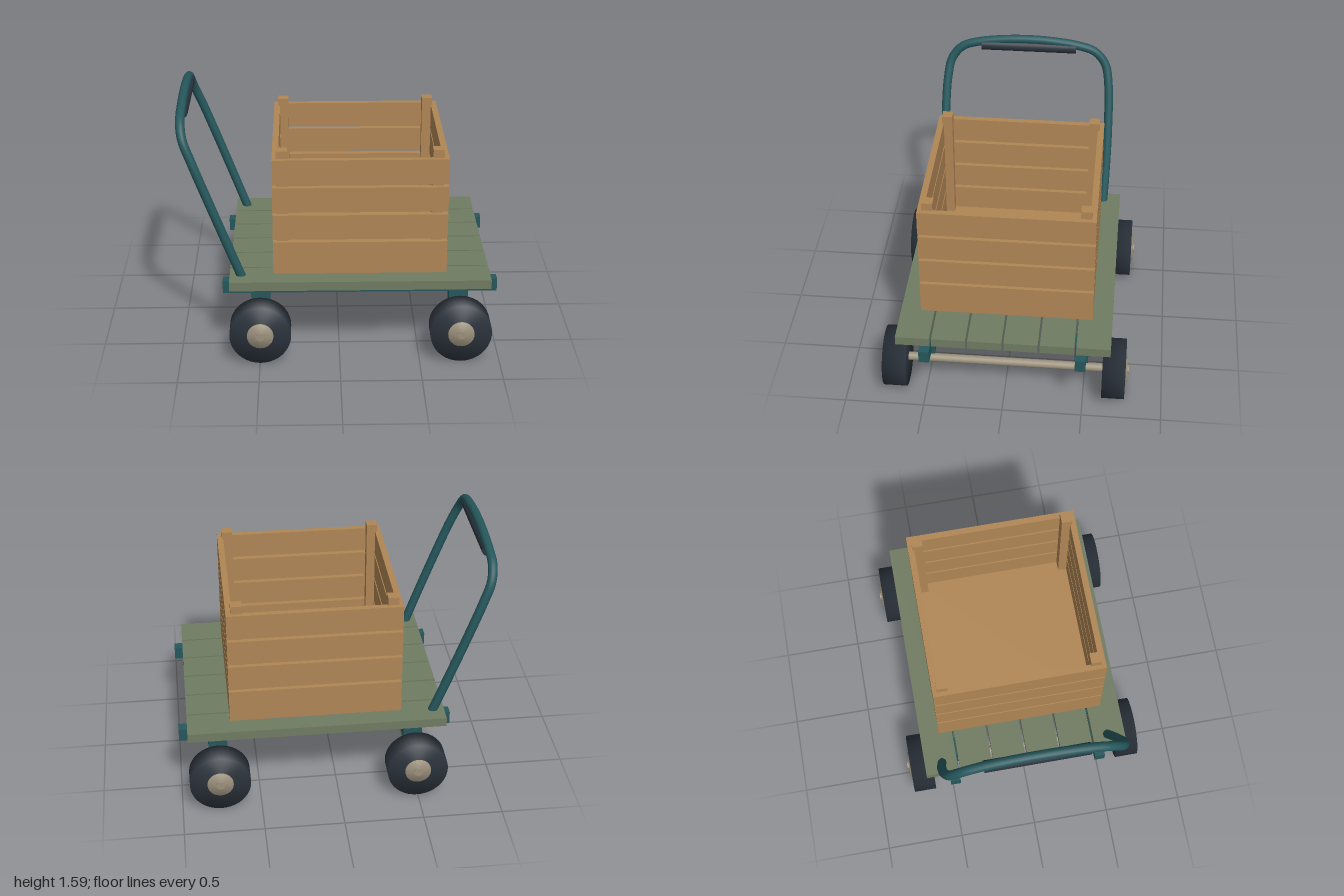
import * as THREE from 'three';

const mat = (name, color) => {
  const m = new THREE.MeshStandardMaterial({ color });
  m.name = name;
  return m;
};

export function createModel() {
  const root = new THREE.Group();
  root.name = 'cart';
  const wood = mat('crateWood', 0xb08655);
  const deckPaint = mat('deckGreen', 0x707b62);
  const teal = mat('frameTeal', 0x25575c);
  const rubber = mat('rubber', 0x2b333c);
  const metal = mat('axleMetal', 0x9c917d);

  const group = (name) => {
    const g = new THREE.Group();
    g.name = name;
    root.add(g);
    return g;
  };
  const add = (parent, name, geo, material, x = 0, y = 0, z = 0) => {
    const m = new THREE.Mesh(geo, material);
    m.name = name;
    m.position.set(x, y, z);
    parent.add(m);
    return m;
  };
  // box given by its extents on each axis
  const box = (parent, name, material, [x0, x1], [y0, y1], [z0, z1]) =>
    add(parent, name, new THREE.BoxGeometry(x1 - x0, y1 - y0, z1 - z0), material,
      (x0 + x1) / 2, (y0 + y1) / 2, (z0 + z1) / 2);
  // disc along z with softened shading at the rims
  const disc = (r, h) => new THREE.LatheGeometry(
    [[0, -h / 2], [r, -h / 2], [r, h / 2], [0, h / 2]].map(p => new THREE.Vector2(...p)), 40
  ).rotateX(Math.PI / 2);

  // deck of six planks
  const deck = group('deck');
  for (let i = 0; i < 6; i++) {
    const z = (i - 2.5) * 0.2245;
    box(deck, 'plank', deckPaint, [-0.686, 0.946], [0.453, 0.512], [z - 0.106, z + 0.106]);
  }

  // rails and brackets
  const frame = group('frame');
  const axleX = [-0.496, 0.757];
  for (const s of [-1, 1]) {
    const zc = s * 0.484;
    box(frame, 'rail', teal, [-0.735, 1.0], [0.367, 0.45], [zc - 0.033, zc + 0.033]);
    for (const x of axleX)
      box(frame, 'bracket', teal, [x - 0.06, x + 0.06], [0.278, 0.417], [zc - 0.042, zc + 0.042]);
  }

  // axles, tyres and hubs
  const running = group('runningGear');
  for (const x of axleX) {
    const axle = new THREE.CylinderGeometry(0.027, 0.027, 1.574, 20).rotateX(Math.PI / 2);
    add(running, 'axle', axle, metal, x, 0.192, 0);
    for (const s of [-1, 1]) {
      add(running, 'tyre', disc(0.192, 0.145), rubber, x, 0.192, s * 0.692);
      add(running, 'hub', disc(0.082, 0.05), metal, x, 0.192, s * 0.751);
    }
  }

  // crate: base, corner posts and four rows of slats
  const crate = group('crate');
  const [x0, x1, zo, t] = [-0.413, 0.675, 0.543, 0.039];
  box(crate, 'crateBase', wood, [x0, x1], [0.511, 0.563], [-zo, zo]);
  for (const s of [-1, 1]) {
    for (const x of [-0.352, 0.61])
      box(crate, 'cornerPost', wood, [x - 0.034, x + 0.034], [0.55, 1.324], [s * 0.482 - 0.034, s * 0.482 + 0.034]);
  }
  for (let i = 0; i < 4; i++) {
    const y = [0.563 + i * 0.1825, 0.726 + i * 0.1825];
    for (const s of [-1, 1]) {
      const zc = s * (zo - t / 2);
      box(crate, 'sideSlat', wood, [x0, x1], y, [zc - t / 2, zc + t / 2]);
      const xc = (x0 + x1) / 2 + s * ((x1 - x0) / 2 - t / 2);
      box(crate, 'endSlat', wood, [xc - t / 2, xc + t / 2], y, [-zo + t, zo - t]);
    }
  }

  // push handle: half path mirrored across z
  const handle = group('handle');
  const half = [[-0.585, 0.43, 0.55], [-0.682, 0.69, 0.559], [-0.798, 1.0, 0.561], [-0.9, 1.27, 0.55],
    [-0.95, 1.4, 0.522], [-0.966, 1.485, 0.45], [-0.966, 1.525, 0.34], [-0.966, 1.55, 0.17]];
  const path = [...half, [-0.966, 1.558, 0], ...half.map(([x, y, z]) => [x, y, -z]).reverse()];
  const curve = new THREE.CatmullRomCurve3(path.map(p => new THREE.Vector3(...p)));
  add(handle, 'handleTube', new THREE.TubeGeometry(curve, 120, 0.029, 16), teal);
  for (const s of [-1, 1]) {
    const cap = add(handle, 'handleEnd', new THREE.CircleGeometry(0.029, 16), teal, -0.585, 0.43, s * 0.55);
    const next = new THREE.Vector3(-0.682, 0.69, s * 0.559);
    cap.lookAt(cap.position.clone().multiplyScalar(2).sub(next));
  }
  const grip = new THREE.CylinderGeometry(0.037, 0.037, 0.64, 24).rotateX(Math.PI / 2);
  add(handle, 'grip', grip, rubber, -0.963, 1.508, 0);

  return root;
}
